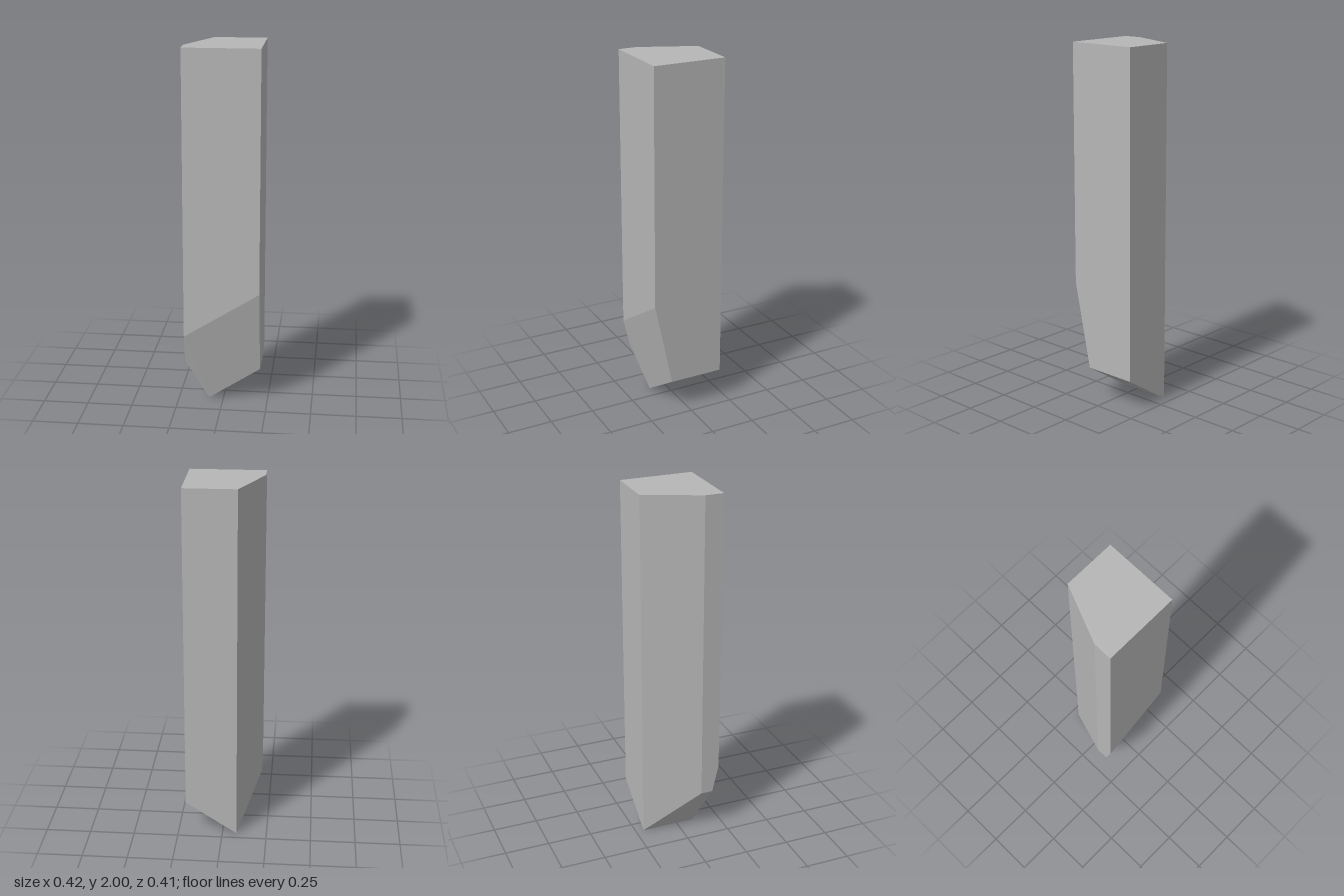
import * as THREE from 'three';
import { ConvexGeometry } from 'three/addons/geometries/ConvexGeometry.js';

// Bar outline seen from above, as [x, z]
const outline = [[-0.08, -0.205], [0.207, -0.205], [0.207, 0.203], [-0.208, 0.203], [-0.208, 0.1]];

// Corners of the ground cutting tip, as [x, y, z]
const tip = [
  [0.207, 0.188, -0.205], [-0.08, 0, -0.205], // slanted end, back edge
  [0.207, 0.188, 0.1], [-0.08, 0, 0.1],       // slanted end, cutting edge
  [0.207, 0.67, 0.203], [-0.208, 0.408, 0.203], // top of the rake face
  [-0.208, 0.25, 0.167], [-0.208, 0.25, 0.1], // top of the side clearance face
];

export function createModel() {
  const steel = new THREE.MeshStandardMaterial({ color: 0xb6b6b6 });
  steel.name = 'steel grey';

  // The whole bit is one convex solid with flat ground faces
  const points = [
    ...outline.map(([x, z]) => new THREE.Vector3(x, 2, z)),
    ...tip.map((p) => new THREE.Vector3(...p)),
  ];
  const bit = new THREE.Mesh(new ConvexGeometry(points), steel);
  bit.name = 'cutting bit';

  const group = new THREE.Group();
  group.name = 'lathe tool bit';
  group.add(bit);
  return group;
}
